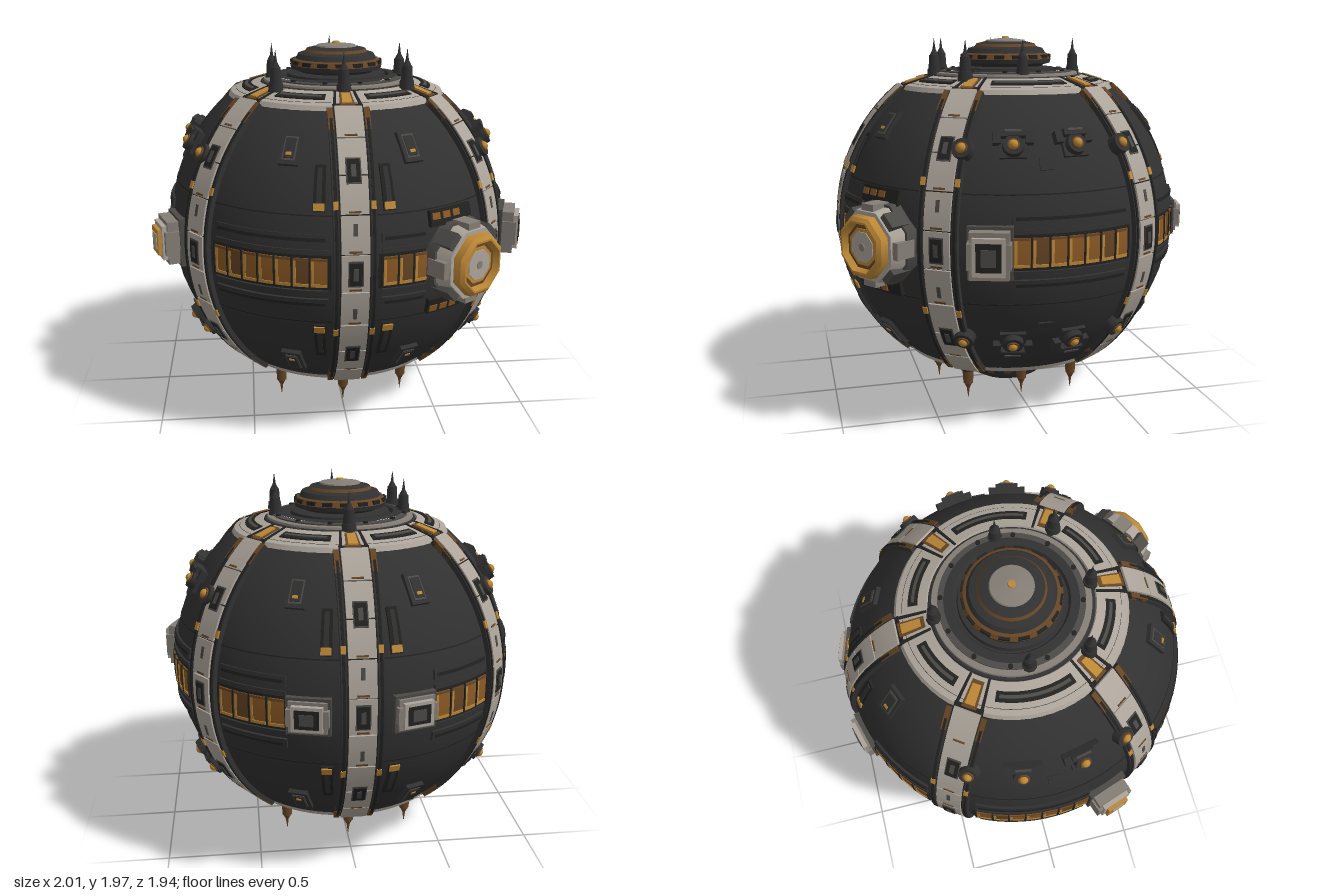
import * as THREE from 'three';

const C = 0.99;   // height of the sphere centre
const R = 0.925;  // hull radius
const D = Math.PI / 180;
const RIBS = [0, 55, 125, 180, 235, 305]; // azimuths from +z towards +x

const flat = (name, color) => Object.assign(new THREE.MeshStandardMaterial({ color }), { name });
const M = {
  hull: flat('hullCharcoal', 0x313131),
  dark: flat('recessBlack', 0x222221),
  mid: flat('trimGrey', 0x4c4a47),
  pale: flat('paleStone', 0xada59b),
  stone: flat('weatheredStone', 0x857e76),
  gold: flat('gold', 0xbd8836),
  amber: flat('amberGlass', 0x8c5a26),
  bronze: flat('bronze', 0x664524),
};

export function createModel() {
  const root = new THREE.Group();
  const ball = new THREE.Group();
  ball.position.y = C;
  root.add(ball);

  const add = (parent, name, geo, mat, x = 0, y = 0, z = 0) => {
    const m = new THREE.Mesh(geo, mat);
    m.name = name;
    m.position.set(x, y, z);
    parent.add(m);
    return m;
  };
  // box whose corners (u, v, w in 0..1) are moved by a rule
  const warp = (nu, nv, rule) => {
    const g = new THREE.BoxGeometry(1, 1, 1, nu, nv, 1);
    const p = g.attributes.position;
    for (let i = 0; i < p.count; i++) p.setXYZ(i, ...rule(p.getX(i) + 0.5, p.getY(i) + 0.5, p.getZ(i) + 0.5));
    g.computeVertexNormals();
    return g;
  };
  const mix = THREE.MathUtils.lerp;
  // curved plate between two azimuths and two elevations
  const plate = (name, mat, a0, a1, e0, e1, r0, r1) => add(ball, name, warp(
    Math.ceil(Math.abs(a1 - a0) / 3), Math.ceil(Math.abs(e1 - e0) / 3), (u, v, w) => {
      const a = mix(a0, a1, u) * D, e = mix(e0, e1, v) * D, r = mix(r0, r1, w);
      return [r * Math.cos(e) * Math.sin(a), r * Math.sin(e), r * Math.cos(e) * Math.cos(a)];
    }), mat);
  // strip of constant width following a meridian
  const strip = (name, mat, az, x0, x1, e0, e1, r0, r1) => {
    const m = add(ball, name, warp(1, Math.ceil((e1 - e0) / 3), (u, v, w) => {
      const e = mix(e0, e1, v) * D, r = mix(r0, r1, w);
      return [mix(x0, x1, u), r * Math.sin(e), r * Math.cos(e)];
    }), mat);
    m.rotation.y = az * D;
  };
  // group on the hull, local +z outwards
  const mount = (name, az, el) => {
    const g = new THREE.Group();
    g.name = name;
    g.rotation.set(-el * D, az * D, 0, 'YXZ');
    ball.add(g);
    return g;
  };
  const box = (g, name, mat, w, h, z0, z1, x = 0, y = 0) =>
    add(g, name, new THREE.BoxGeometry(w, h, z1 - z0), mat, x, y, (z0 + z1) / 2);
  const drum = (g, name, mat, r0, r1, z0, z1, sides = 16) => {
    const geo = new THREE.CylinderGeometry(r1, r0, z1 - z0, sides);
    geo.rotateY(Math.PI / sides).rotateX(Math.PI / 2);
    return add(g, name, geo, mat, 0, 0, (z0 + z1) / 2);
  };
  // lathe with crisp steps: one short lathe per profile segment
  const turned = (parent, name, mat, pts, sides = 64) => {
    const g = new THREE.Group();
    g.name = name;
    for (let i = 1; i < pts.length; i++)
      add(g, name, new THREE.LatheGeometry([pts[i - 1], pts[i]].map(p => new THREE.Vector2(...p)), sides), mat);
    parent.add(g);
    return g;
  };

  // hull
  add(ball, 'hull', new THREE.SphereGeometry(R, 96, 48, 0, Math.PI * 2, 36 * D, 108 * D), M.hull);
  for (const s of [-1, 1]) plate('hullSeam', M.dark, 0, 360, s * 17 - 0.2, s * 17 + 0.2, 0.91, 0.927);

  // meridian ribs
  for (const az of RIBS) {
    strip('ribBase', M.dark, az, -0.075, 0.075, -53, 53, 0.9, 0.936);
    for (let i = 0; i < 9; i++) {
      const e = -51.75 + i * 11.5;
      strip('ribSegment', M.pale, az, -0.068, 0.068, e + 0.2, e + 11.3, 0.91, 0.948);
      if (i > 0) strip('ribClip', M.bronze, az, -0.03, 0.03, e + 0.5, e + 1.1, 0.93, 0.951);
    }
    for (const e of [-30, 0, 30]) {
      strip('ribSlotFrame', M.mid, az, -0.037, 0.037, e - 3.9, e + 3.9, 0.93, 0.952);
      strip('ribSlot', M.dark, az, -0.031, 0.031, e - 3.4, e + 3.4, 0.93, 0.956);
      strip('ribSlotBar', M.mid, az, -0.012, 0.012, e - 1.8, e + 1.8, 0.93, 0.959);
    }
    for (const e of [-13, 13]) strip('ribVent', M.mid, az, -0.01, 0.01, e - 1.8, e + 1.8, 0.93, 0.951);
    for (const s of [-1, 1]) {
      const a = s > 0 ? 0.075 : -0.105;
      strip('ribRail', M.hull, az, a, a + 0.03, -51, 51, 0.9, 0.943);
      strip('ribRailLip', M.dark, az, a + 0.008, a + 0.022, -47, 47, 0.93, 0.948);
      for (const t of [-1, 1]) {
        strip('railGoldEnd', M.bronze, az, a, a + 0.028, t * 47 - 4, t * 47 + 4, 0.92, 0.947);
        strip('railGoldClip', M.gold, az, a + 0.003, a + 0.027, t * 20 - 1.2, t * 20 + 1.2, 0.92, 0.951);
      }
    }
  }

  // window bands: [start, end] azimuths, with framing rails
  const panes = [M.amber, M.bronze, M.amber, M.amber];
  for (const [a0, a1] of [[-46, -8], [8, 23], [77.5, 116], [133, 157], [203, 227], [244, 282.5]]) {
    plate('windowFrame', M.dark, a0 - 1, a1 + 1, -5.4, 5.4, 0.9, 0.931);
    const n = Math.round((a1 - a0) / 5.5), step = (a1 - a0) / n;
    for (let i = 0; i <= n; i++) {
      const a = a0 + i * step;
      plate('windowMullion', M.dark, a - 0.25, a + 0.25, -4.8, 4.8, 0.91, 0.941);
      if (i === n) continue;
      plate('windowGlass', panes[i % 4], a, a + step, -4.5, 4.5, 0.91, 0.935);
      plate('windowSill', M.gold, a + 0.4, a + step - 0.4, -4.4, -3.5, 0.92, 0.939);
      plate('windowHead', M.bronze, a + 0.4, a + step - 0.4, 3.7, 4.4, 0.92, 0.939);
      plate('windowGleam', M.gold, a + 0.5, a + 1.3, -3.5, 3.7, 0.92, 0.938);
    }
    for (const s of [-1, 1]) {
      plate('windowRail', M.hull, a0, a1, s * 10 - 1.6, s * 10 + 1.6, 0.91, 0.938);
      plate('windowRailGroove', M.dark, a0 + 1, a1 - 1, s * 10 - 0.5, s * 10 + 0.5, 0.92, 0.942);
      plate('windowLip', M.hull, a0, a1, s * 6.3 - 0.7, s * 6.3 + 0.7, 0.91, 0.937);
    }
  }

  // hatches and slit lights beside the front and back ribs
  for (const c of [0, 180]) for (const s of [-1, 1]) for (const t of [-1, 1]) {
    const h = mount('hatch', c + s * 22.5, t * 36.5);
    box(h, 'hatchFrame', M.hull, 0.1, 0.165, 0.9, 0.943);
    box(h, 'hatchPanel', M.mid, 0.066, 0.125, 0.92, 0.947);
    box(h, 'hatchRecess', M.hull, 0.052, 0.105, 0.93, 0.951);
    box(h, 'hatchLight', M.gold, 0.028, 0.016, 0.93, 0.955, 0, -t * 0.03);
    const a = c + s * 11, e = t * 25;
    plate('slitFrame', M.dark, a - 1.9, a + 1.9, e - 7, e + 7, 0.9, 0.938);
    plate('slitBar', M.hull, a - 0.8, a + 0.8, e - 5, e + 6, 0.91, 0.943);
    plate('slitLight', M.gold, a - 1.7, a + 1.7, e - t * 5.5 - 1.1, e - t * 5.5 + 1.1, 0.91, 0.946);
  }

  // side lamps, the middle pair under hoods
  for (const s of [-1, 1]) for (const t of [-1, 1]) for (const az of [61, 78, 100, 119]) {
    const hooded = az === 78 || az === 100;
    const g = mount('sideLamp', s * az, t * (hooded ? 31.2 : 30));
    drum(g, 'lampHub', M.hull, 0.058, 0.05, 0.9, 0.97);
    drum(g, 'lampRim', M.bronze, 0.034, 0.03, 0.96, 0.977);
    add(g, 'lampDome', new THREE.SphereGeometry(0.024, 14, 10), M.gold, 0, 0, 0.97);
    if (!hooded) continue;
    box(g, 'hoodBase', M.hull, 0.13, 0.13, 0.88, 0.94, 0, t * 0.01);
    box(g, 'hoodTop', M.hull, 0.12, 0.035, 0.9, 0.975, 0, t * 0.06);
    box(g, 'hoodTrim', M.mid, 0.08, 0.012, 0.95, 0.98, 0, t * 0.068);
    for (const k of [-1, 1]) box(g, 'hoodCheek', M.hull, 0.04, 0.06, 0.89, 0.955, k * 0.078, t * 0.045);
  }
  for (const s of [-1, 1]) for (const t of [-1, 1]) {
    const g = mount('sidePanel', s * 89, t * 26);
    box(g, 'sidePanel', M.hull, 0.07, 0.06, 0.9, 0.932);
  }

  // docking boxes on the sides and back, one of them with a lit window
  for (const az of [71, -71, 164, 196]) {
    const side = Math.abs(az) === 71, lit = az === -71;
    const h = side ? 0.23 : 0.16, top = side ? 1.03 : 0.985;
    const g = mount('dockingBox', az, 0);
    box(g, 'boxBase', M.mid, 0.22, h + 0.03, 0.88, 0.945);
    box(g, 'boxBody', M.stone, 0.19, h, 0.9, top - 0.025);
    box(g, 'boxFrame', M.pale, 0.155, h * 0.8, 0.9, top);
    box(g, 'boxRecess', lit ? M.gold : M.dark, 0.12, h * 0.6, 0.95, top + (lit ? 0.02 : 0.004));
    box(g, 'boxDoor', lit ? M.pale : M.mid, 0.07, h * 0.36, 0.95, top + (lit ? 0.024 : 0.008));
    for (const k of [-1, 1]) box(g, 'boxClamp', M.stone, 0.03, h * 0.55, 0.9, top - 0.01, k * 0.09);
  }

  // large octagonal porthole
  const port = mount('porthole', 35, 0);
  for (const t of [-1, 1]) {
    plate('portBacking', M.dark, 24, 41, t * 14 - 2.5, t * 14 + 2.5, 0.9, 0.95);
    for (const a of [26, 30, 34]) plate('portBackingLight', M.amber, a - 1.4, a + 1.4, t * 14.6 - 1, t * 14.6 + 1, 0.93, 0.955);
  }
  drum(port, 'portBase', M.mid, 0.225, 0.215, 0.86, 0.96, 8);
  drum(port, 'portFrame', M.pale, 0.205, 0.185, 0.94, 1.04, 8);
  for (let i = 0; i < 8; i++) {
    const arm = new THREE.Group();
    arm.rotation.z = i * Math.PI / 4;
    port.add(arm);
    box(arm, 'portClamp', i % 2 ? M.mid : M.stone, 0.085, 0.05, 0.92, 1.03, 0, 0.182);
  }
  const ring = turned(port, 'portRing', M.gold, [[0.165, 1.03], [0.16, 1.08], [0.14, 1.095], [0.13, 1.095], [0.115, 1.06]], 8);
  ring.rotation.x = Math.PI / 2;
  ring.children.forEach(m => { m.rotation.y = Math.PI / 8; });
  drum(port, 'portInnerRing', M.bronze, 0.125, 0.125, 1.03, 1.064, 8);
  drum(port, 'portInnerLip', M.gold, 0.1, 0.098, 1.04, 1.068, 8);
  drum(port, 'portGlass', M.pale, 0.085, 0.08, 1.04, 1.072, 8);
  drum(port, 'portHub', M.stone, 0.025, 0.02, 1.05, 1.076, 8);

  // polar decks, the lower one turned over
  for (const top of [true, false]) {
    const cap = new THREE.Group();
    cap.name = top ? 'upperDeck' : 'lowerDeck';
    if (!top) cap.rotation.x = Math.PI;
    ball.add(cap);
    turned(cap, 'deckRing', M.pale, [[0.59, 0.71], [0.575, 0.738], [0.42, 0.785], [0.41, 0.765]]);
    turned(cap, 'deckStep', M.hull, [[0.42, 0.76], [0.41, 0.785], [0.395, 0.79]]);
    turned(cap, 'deckBand', M.stone, [[0.4, 0.78], [0.395, 0.8], [0.365, 0.803]]);
    turned(cap, 'deckTier', M.mid, [[0.366, 0.795], [0.365, 0.81], [0.33, 0.812]]);
    turned(cap, 'deckFloor', M.hull, [[0.335, 0.815], [0.29, 0.818], [0.28, 0.8], [0.2, 0.8]]);
    // arc slots in the ring and gold brackets at the ribs
    const cone = (name, mat, a0, a1, ra, rb, lift) => add(cap, name, warp(Math.ceil((a1 - a0) / 4), 1, (u, v, w) => {
      const a = mix(a0, a1, u) * D, r = mix(ra, rb, v);
      return [r * Math.sin(a), 0.738 + (0.575 - r) * 0.303 + mix(-0.02, lift, w), r * Math.cos(a)];
    }), mat);
    RIBS.forEach((a, i) => {
      const b = RIBS[(i + 1) % 6] + (i === 5 ? 360 : 0);
      cone('deckSlot', M.dark, a + 12, b - 12, 0.515, 0.465, 0.006);
      cone('deckSlotBar', M.mid, a + 14, b - 14, 0.498, 0.482, 0.01);
      for (const k of [-1, 1]) cone('deckJoint', M.dark, a + k * 6.5 - 0.8, a + k * 6.5 + 0.8, 0.575, 0.42, 0.006);
      cone('deckBracket', M.bronze, a - 3.8, a + 3.8, 0.575, 0.44, 0.006);
      cone('deckBracketLight', M.gold, a - 2.6, a + 2.6, 0.56, 0.46, 0.013);
    });
    for (let i = 0; i < 12; i++) {
      const a = (i * 30 + 15) * D;
      add(cap, 'deckStud', new THREE.CylinderGeometry(0.013, 0.013, 0.012, 8), M.dark, 0.35 * Math.sin(a), 0.813, 0.35 * Math.cos(a));
    }
    // turret
    turned(cap, 'turretBase', M.hull, [[0.27, 0.8], [0.265, 0.825], [0.2, 0.832], [0.21, 0.84], [0.245, 0.85], [0.25, 0.872]]);
    turned(cap, 'turretBand', M.bronze, [[0.25, 0.872], [0.235, 0.897], [0.215, 0.905]]);
    turned(cap, 'turretRoof', M.hull, [[0.22, 0.903], [0.205, 0.928], [0.17, 0.938]]);
    turned(cap, 'turretCollar', top ? M.bronze : M.hull, [[0.172, 0.936], [0.16, 0.953]]);
    turned(cap, 'turretShoulder', M.hull, [[0.16, 0.953], [0.11, 0.965]]);
    turned(cap, 'turretCap', top ? M.stone : M.hull, [[0.115, 0.958], [0.105, 0.972], [0.03, 0.982], [0, 0.982]]);
    if (top) add(cap, 'turretEye', new THREE.CylinderGeometry(0.018, 0.022, 0.012, 12), M.gold, 0, 0.985, 0);
    for (let i = 0; i < 16; i++) {
      const a = i * Math.PI / 8;
      const rib = add(cap, 'turretBlock', new THREE.BoxGeometry(0.055, 0.02, 0.02), M.dark, 0.238 * Math.sin(a), 0.885, 0.238 * Math.cos(a));
      rib.rotation.y = a;
    }
  }

  // antenna spikes around both decks
  const spike = (x, z, up) => {
    const g = new THREE.Group();
    g.name = 'antenna';
    g.position.set(x, up ? 0.775 : -0.755, z);
    if (!up) g.rotation.x = Math.PI;
    ball.add(g);
    const m = up ? M.hull : M.bronze;
    add(g, 'antennaFoot', new THREE.CylinderGeometry(0.036, 0.042, 0.05, 10), M.hull, 0, 0.02, 0);
    add(g, 'antennaBody', new THREE.CylinderGeometry(0.027, 0.032, 0.075, 10), m, 0, 0.08, 0);
    add(g, 'antennaNeck', new THREE.CylinderGeometry(0.009, 0.024, 0.03, 10), m, 0, 0.132, 0);
    add(g, 'antennaTip', new THREE.ConeGeometry(0.009, 0.065, 8), m, 0, 0.178, 0);
  };
  for (const [x, z] of [[-0.35, 0], [0.35, 0], [0, -0.39], [0, 0.4], [-0.34, 0.3], [0.34, 0.3]]) {
    spike(x, z, true);
    spike(x, z, false);
  }
  for (const s of [-1, 1]) spike(s * 0.34, -0.29, false);

  return root;
}
